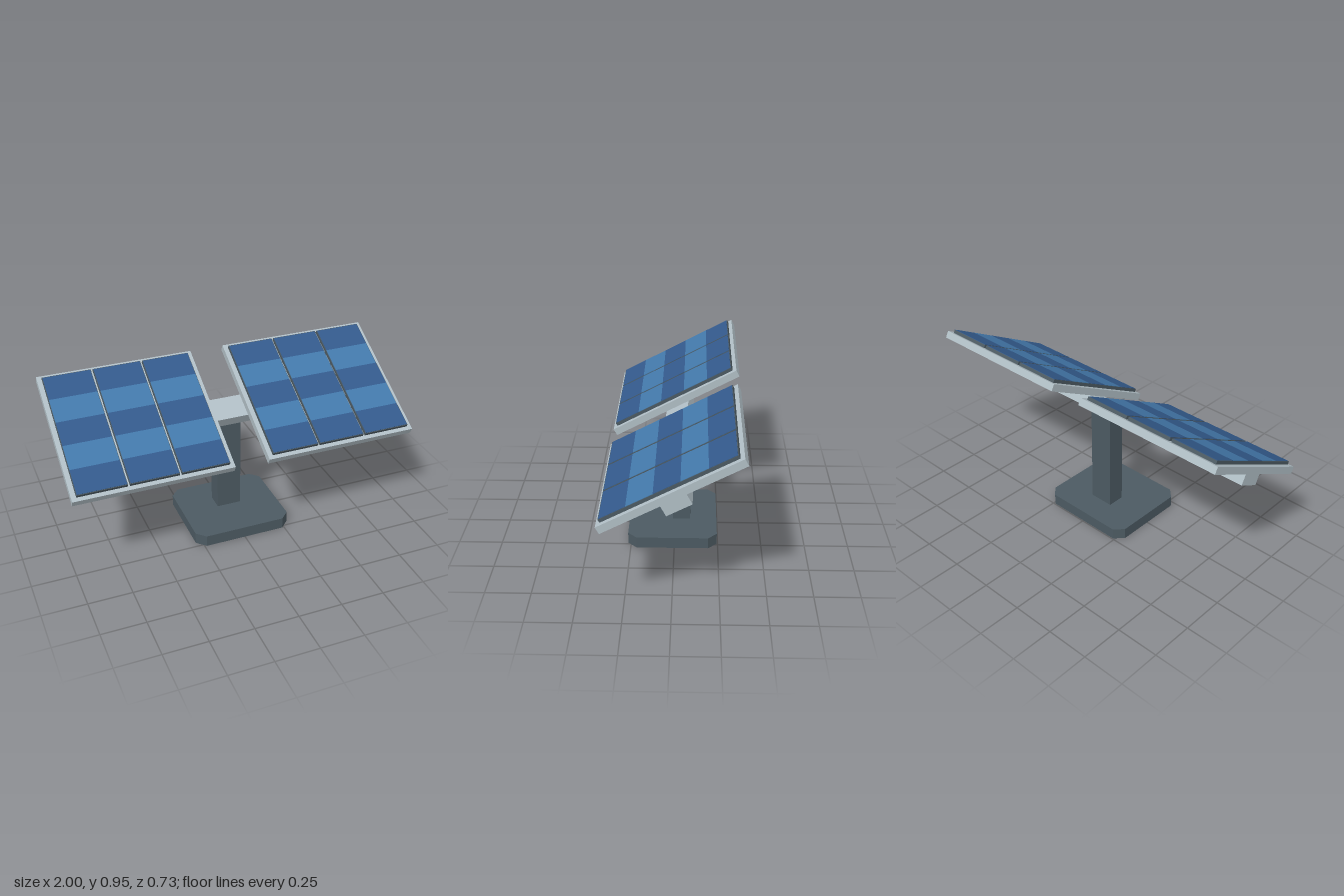
import * as THREE from 'three';

export function createModel() {
  const model = new THREE.Group();
  model.name = 'solarPanelStand';

  const mat = (color) => new THREE.MeshStandardMaterial({ color, flatShading: true });
  const slate = mat(0x4c5a62);
  const metal = mat(0xb0bec5);
  const darkCell = mat(0x335a8c);
  const lightCell = mat(0x4379ab);

  const add = (parent, name, geometry, material, x = 0, y = 0, z = 0) => {
    const mesh = new THREE.Mesh(geometry, material);
    mesh.name = name;
    mesh.position.set(x, y, z);
    parent.add(mesh);
    return mesh;
  };
  const box = (parent, name, material, w, h, d, x, y, z) =>
    add(parent, name, new THREE.BoxGeometry(w, h, d), material, x, y, z);

  // Base plate with cut corners
  const bw = 0.288, bd = 0.256, cut = 0.05;
  const outline = new THREE.Shape([
    [bw - cut, -bd], [bw, -bd + cut], [bw, bd - cut], [bw - cut, bd],
    [-bw + cut, bd], [-bw, bd - cut], [-bw, -bd + cut], [-bw + cut, -bd],
  ].map(([x, y]) => new THREE.Vector2(x, y)));
  const baseGeometry = new THREE.ExtrudeGeometry(outline, { depth: 0.067, bevelEnabled: false });
  baseGeometry.rotateX(-Math.PI / 2);
  add(model, 'base', baseGeometry, slate, 0, 0, 0.011);

  // Post
  box(model, 'post', slate, 0.144, 0.624, 0.102, 0, 0.377, -0.039);

  // Tilted assembly: local y is the panel normal, local z runs down the slope
  const tilt = new THREE.Group();
  tilt.name = 'tiltedArray';
  tilt.position.y = 0.737;
  tilt.rotation.x = THREE.MathUtils.degToRad(28);
  model.add(tilt);

  const frameW = 0.9, frameD = 0.802, frameH = 0.041;
  const beamH = 0.068;
  box(tilt, 'crossBeam', metal, 1.97, beamH, 0.143, 0, -(frameH + beamH) / 2, 0);

  // Frame outline with an open middle
  const rail = 0.045;
  const rect = (path, w, d) => {
    path.moveTo(-w, -d).lineTo(w, -d).lineTo(w, d).lineTo(-w, d).closePath();
    return path;
  };
  const frameShape = rect(new THREE.Shape(), frameW / 2, frameD / 2);
  frameShape.holes.push(rect(new THREE.Path(), frameW / 2 - rail, frameD / 2 - rail));
  const frameGeometry = new THREE.ExtrudeGeometry(frameShape, { depth: frameH, bevelEnabled: false });
  frameGeometry.rotateX(-Math.PI / 2);
  frameGeometry.translate(0, -frameH / 2, 0);

  const pitch = 0.286, moduleW = 0.274, moduleD = 0.756, rows = 5;
  const bottom = 0.01, top = 0.0395;

  for (const side of [-1, 1]) {
    const wing = new THREE.Group();
    wing.name = side > 0 ? 'leftWing' : 'rightWing';
    wing.position.x = side * 0.55;
    tilt.add(wing);
    add(wing, 'frame', frameGeometry, metal);

    // Bars between the modules
    for (const s of [-0.5, 0.5]) {
      box(wing, 'dividerBar', metal, 0.024, frameH, frameD - 2 * rail, s * pitch, 0, 0);
    }

    // Three modules, each with five bands of cells in alternating blues
    for (let i = -1; i <= 1; i++) {
      box(wing, 'moduleBody', slate, moduleW, top - bottom, moduleD, i * pitch, (top + bottom) / 2, 0);
      const band = (moduleD - 0.008) / rows;
      for (let r = 0; r < rows; r++) {
        box(wing, 'cellBand', r % 2 ? lightCell : darkCell,
          moduleW - 0.006, 0.002, band, i * pitch, top + 0.001, (r - (rows - 1) / 2) * band);
      }
    }
  }

  return model;
}
